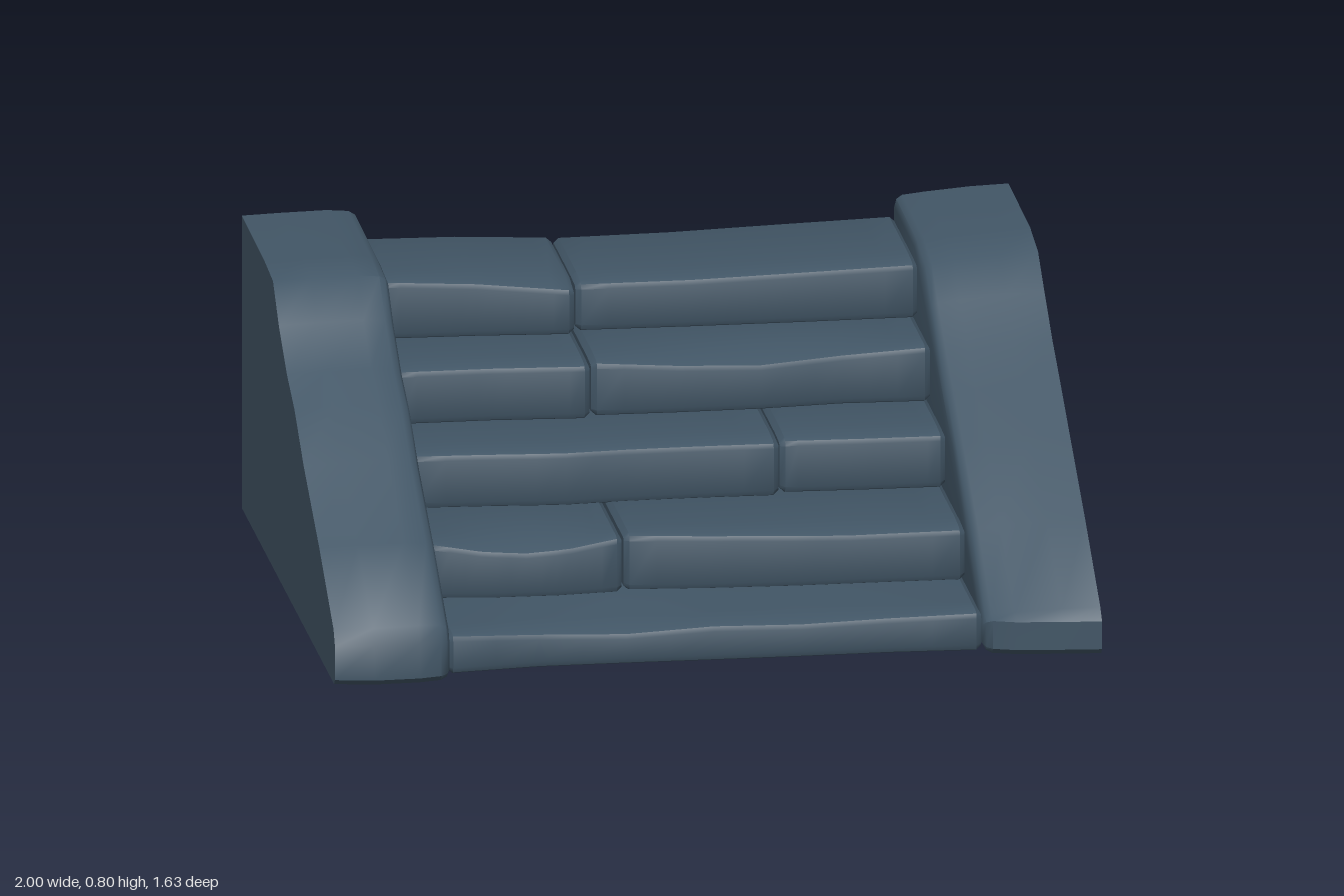
import * as THREE from 'three';
import { toCreasedNormals } from 'three/addons/utils/BufferGeometryUtils.js';

const stone = new THREE.MeshStandardMaterial({ color: 0x415565 });
stone.name = 'slate stone';

// Skin a run of [z, y] outlines, each placed at its own x (ascending), with end caps
function loft(rings) {
  const n = rings[0].pts.length, pos = [], idx = [];
  const addRing = r => r.pts.forEach(([z, y]) => pos.push(r.x, y, z));
  rings.forEach(addRing);
  for (let i = 0; i < rings.length - 1; i++) {
    for (let j = 0; j < n; j++) {
      const k = (j + 1) % n, a = i * n + j, b = i * n + k, c = b + n, d = a + n;
      idx.push(a, c, b, a, d, c);
    }
  }
  [rings[0], rings[rings.length - 1]].forEach((r, end) => {
    const base = pos.length / 3;
    addRing(r);
    const tris = THREE.ShapeUtils.triangulateShape(r.pts.map(p => new THREE.Vector2(...p)), []);
    for (const [a, b, c] of tris) {
      if (end) idx.push(base + a, base + c, base + b);
      else idx.push(base + a, base + b, base + c);
    }
  });
  const g = new THREE.BufferGeometry();
  g.setAttribute('position', new THREE.Float32BufferAttribute(pos, 3));
  g.setIndex(idx);
  return toCreasedNormals(g, 0.7);
}

// Shrink a counter-clockwise outline by distance d
function inset(pts, d) {
  const n = pts.length;
  return pts.map((p, i) => {
    const a = pts[(i + n - 1) % n], b = pts[(i + 1) % n];
    const l1 = Math.hypot(p[0] - a[0], p[1] - a[1]), l2 = Math.hypot(b[0] - p[0], b[1] - p[1]);
    const n1 = [-(p[1] - a[1]) / l1, (p[0] - a[0]) / l1];
    const n2 = [-(b[1] - p[1]) / l2, (b[0] - p[0]) / l2];
    const s = d / (1 + n1[0] * n2[0] + n1[1] * n2[1]);
    return [p[0] + (n1[0] + n2[0]) * s, p[1] + (n1[1] + n2[1]) * s];
  });
}

// Rounded block section; dip lowers the worn front edge
function section(zb, zf, y0, y1, dip) {
  const r = 0.018, pts = [];
  const corner = (z, y, start) => {
    for (let i = 0; i < 3; i++) {
      const t = start + i * Math.PI / 4;
      pts.push([z + r * Math.cos(t), y + r * Math.sin(t)]);
    }
  };
  corner(zb + r, y0 + r, Math.PI);
  corner(zf - r, y0 + r, Math.PI * 1.5);
  corner(zf - r, y1 - dip - r, 0);
  pts.push([zf - 0.09, y1]);
  corner(zb + r, y1 - r, Math.PI / 2);
  return pts;
}

// One stone: fronts, dips and tops are evenly spaced values from x0 to x1
function block({ x: [x0, x1], y0, tops, fronts, dips = [0.004], back }) {
  const at = (list, t) => {
    const f = t * (list.length - 1), i = Math.min(Math.floor(f), Math.max(list.length - 2, 0));
    return list.length === 1 ? list[0] : list[i] + (list[i + 1] - list[i]) * (f - i);
  };
  const steps = 12, rings = [];
  for (let i = 0; i <= steps; i++) {
    const t = i / steps;
    const x = x0 + 0.014 + (x1 - x0 - 0.028) * t;
    rings.push({ x, pts: section(back, at(fronts, t), y0, at(tops, t), at(dips, t)) });
  }
  const first = rings[0], last = rings[steps];
  rings.unshift({ x: x0, pts: inset(first.pts, 0.012) });
  rings.push({ x: x1, pts: inset(last.pts, 0.012) });
  return loft(rings);
}

// Sloped side wall: flat outer face, softened inner edge
function wall(side, profile, fronts, tops, back) {
  const xs = [1, 0.9, 0.78, 0.722];
  const rings = xs.map((x, i) => ({
    x: side * x,
    pts: profile.map(([z, y]) => [
      z > 0.75 ? z + fronts[i] : z < -0.75 ? back : z,
      y > 0.1 ? y + tops[i] : y,
    ]),
  }));
  const inner = rings[3].pts;
  rings.push({ x: side * 0.706, pts: inset(inner, 0.008) });
  rings.push({ x: side * 0.698, pts: inset(inner, 0.024) });
  if (side > 0) rings.reverse();
  return loft(rings);
}

export function createModel() {
  const model = new THREE.Group();
  model.name = 'stoneStairs';
  const add = (name, geometry) => {
    const m = new THREE.Mesh(geometry, stone);
    m.name = name;
    model.add(m);
  };

  // Side walls
  add('leftWall', wall(1, [
    [-0.8, 0.005], [0.8, 0.01], [0.815, 0.025], [0.815, 0.1], [0.785, 0.13], [0.52, 0.29],
    [0.25, 0.44], [0.09, 0.53], [-0.04, 0.6], [-0.18, 0.69], [-0.29, 0.765], [-0.43, 0.79], [-0.8, 0.795],
  ], [0, -0.01, -0.025, -0.045], [0, -0.003, -0.012, -0.018], -0.803));
  add('rightWall', wall(-1, [
    [-0.8, 0.005], [0.79, 0.01], [0.805, 0.025], [0.805, 0.115], [0.78, 0.155], [0.52, 0.3],
    [0.25, 0.44], [0.09, 0.545], [-0.04, 0.6], [-0.18, 0.69], [-0.28, 0.78], [-0.43, 0.79], [-0.8, 0.795],
  ], [-0.015, 0.005, 0.003, -0.01], [0, 0.003, 0.005, 0], -0.817));

  // Treads, from the bottom row up
  const rows = [
    { y0: 0.015, back: -0.79, stones: [
      { x: [-0.7, 0.695], tops: [0.122], dips: [0, 0.012, 0.02, 0.008, 0.012, 0.006, 0],
        fronts: [0.757, 0.735, 0.737, 0.742, 0.746, 0.746, 0.757] }] },
    { y0: 0.118, back: 0.02, stones: [
      { x: [-0.7, -0.197], tops: [0.27], dips: [0, 0.018, 0.026, 0.018, 0], fronts: [0.43, 0.45, 0.456, 0.445] },
      { x: [-0.19, 0.695], tops: [0.272, 0.265], dips: [0, 0.004, 0.01, 0.005], fronts: [0.43, 0.45, 0.462, 0.465, 0.47] }] },
    { y0: 0.268, back: -0.25, stones: [
      { x: [-0.7, 0.258], tops: [0.42], fronts: [0.12, 0.132, 0.15, 0.14, 0.14, 0.145] },
      { x: [0.264, 0.695], tops: [0.418], fronts: [0.12, 0.13, 0.135] }] },
    { y0: 0.42, back: -0.5, stones: [
      { x: [-0.7, -0.197], tops: [0.572], fronts: [-0.13, -0.127, -0.11] },
      { x: [-0.19, 0.695], tops: [0.572], dips: [0.004, 0.018, 0.026, 0.014, 0], fronts: [-0.132, -0.125, -0.125, -0.14, -0.13] }] },
    { y0: 0.572, back: -0.8, stones: [
      { x: [-0.705, -0.2], tops: [0.732, 0.728, 0.715], dips: [0, 0.008, 0.016], fronts: [-0.39, -0.38, -0.36], back: -0.785 },
      { x: [-0.192, 0.7], tops: [0.708, 0.71, 0.718, 0.725], fronts: [-0.39, -0.38, -0.375, -0.375] }] },
  ];
  rows.forEach(({ y0, back, stones }, i) => {
    stones.forEach((s, j) => add(`step${i + 1}Stone${j + 1}`, block({ y0, back, ...s })));
  });

  // Large slab closing the back below the top step
  add('backSlab', block({ x: [-0.705, 0.705], y0: 0.012, tops: [0.57], fronts: [-0.6], dips: [0], back: -0.802 }));
  return model;
}
